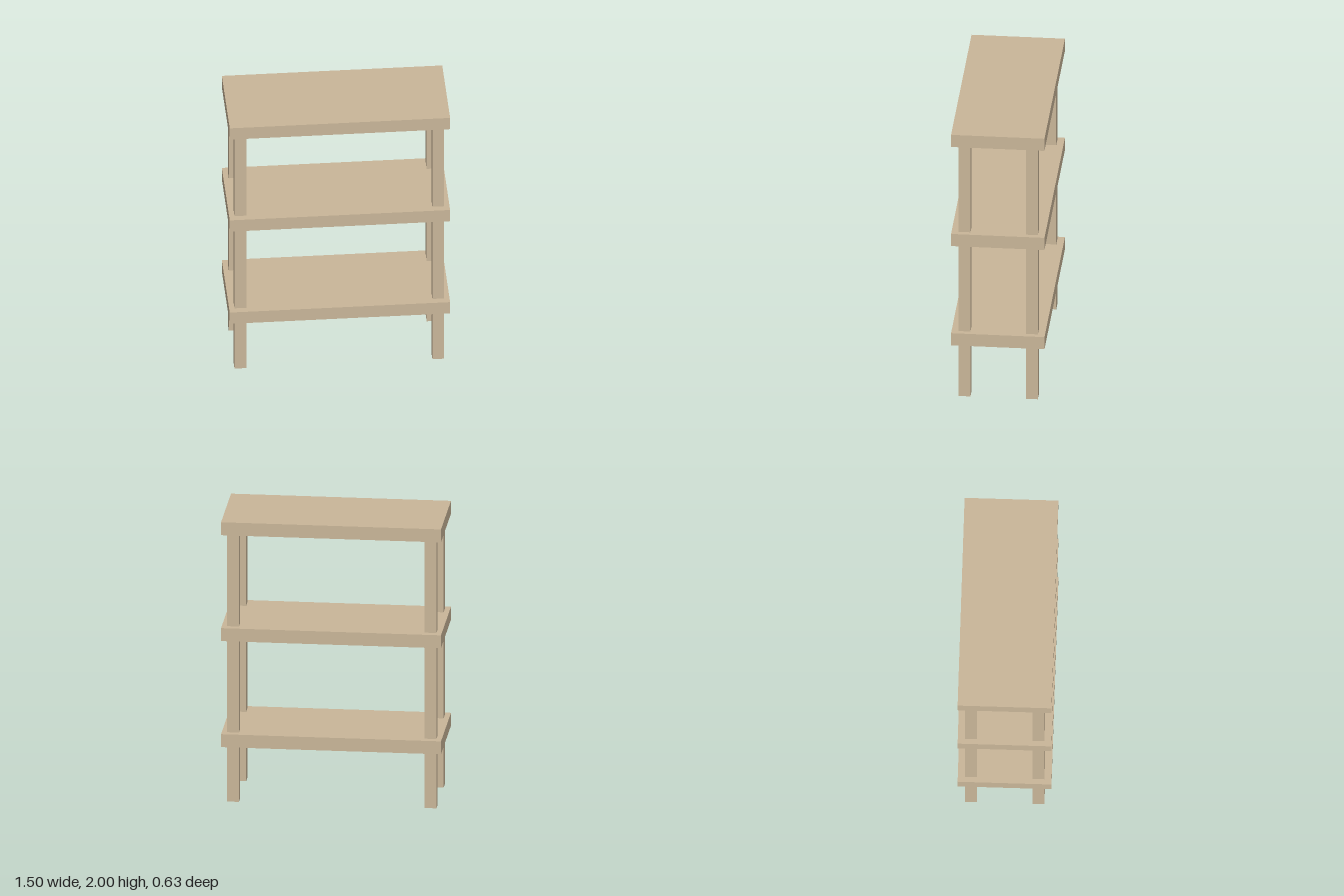
import * as THREE from 'three';

export function createModel() {
  const model = new THREE.Group();
  model.name = 'shelfUnit';
  const wood = new THREE.MeshStandardMaterial({ color: 0xc9b699 });
  wood.name = 'light wood';

  const addBox = (name, w, h, d, x, y, z) => {
    const mesh = new THREE.Mesh(new THREE.BoxGeometry(w, h, d), wood);
    mesh.name = name;
    mesh.position.set(x, y, z);
    model.add(mesh);
  };

  // Three boards, positioned by their top faces
  const thickness = 0.092;
  const tops = { lowerShelf: 0.493, middleShelf: 1.247, topShelf: 2 };
  for (const [name, top] of Object.entries(tops)) {
    addBox(name, 1.497, thickness, 0.635, 0, top - thickness / 2, 0);
  }

  // Four square posts running from the floor to the underside of the top board
  const postHeight = 2 - thickness;
  for (const [side, x] of [['Left', 0.672], ['Right', -0.672]]) {
    for (const [end, z] of [['front', 0.229], ['back', -0.229]]) {
      addBox(`${end}${side}Post`, 0.08, postHeight, 0.08, x, postHeight / 2, z);
    }
  }
  return model;
}
